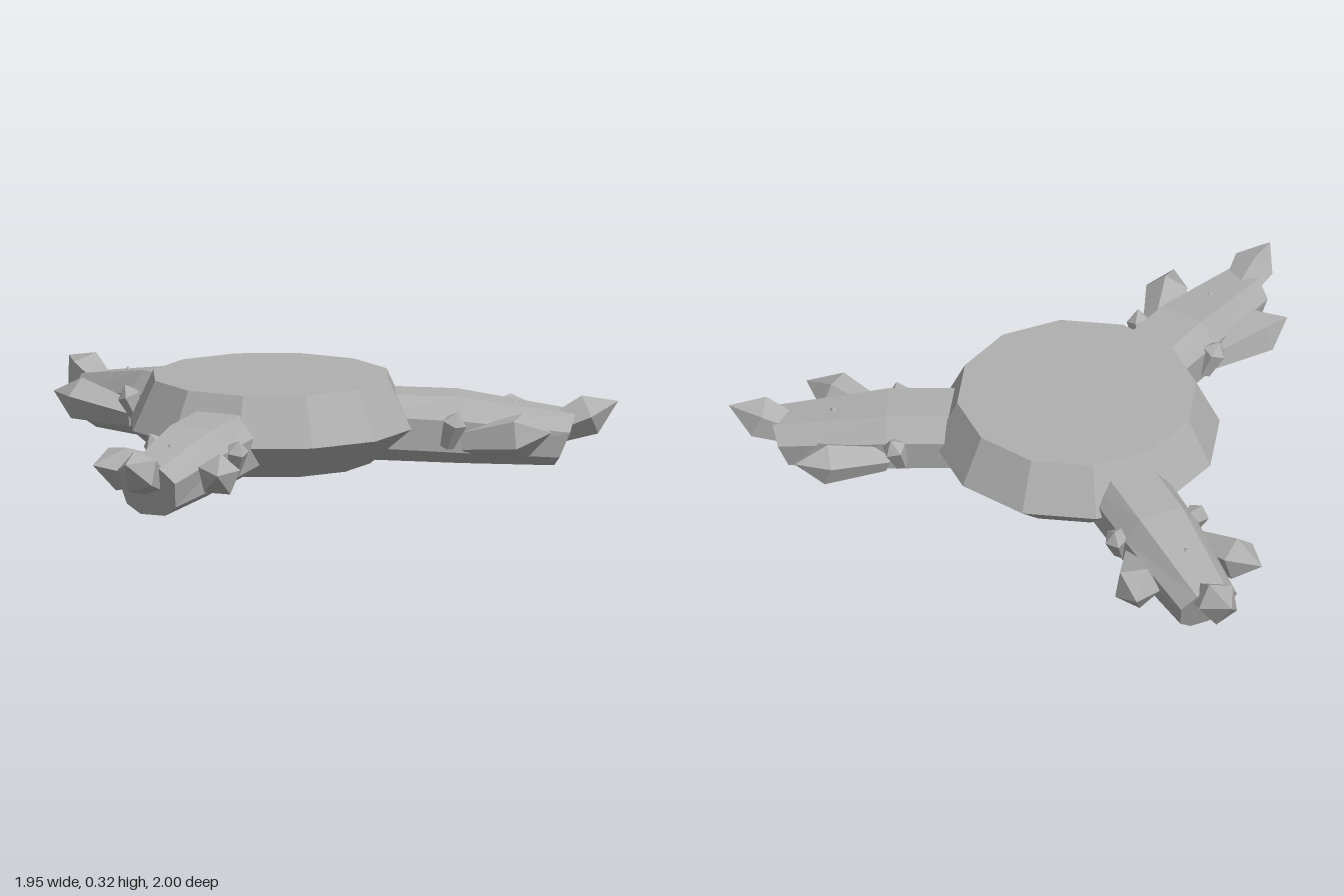
import * as THREE from 'three';

const stone = new THREE.MeshStandardMaterial({ color: 0xb0b0b0 });
stone.name = 'grey stone';

// Gives every face its own flat normal
function faceted(geometry) {
  const g = geometry.index ? geometry.toNonIndexed() : geometry;
  g.computeVertexNormals();
  return g;
}

function part(name, geometry) {
  const mesh = new THREE.Mesh(faceted(geometry), stone);
  mesh.name = name;
  return mesh;
}

function turned(points, sides) {
  return new THREE.LatheGeometry(points.map(p => new THREE.Vector2(...p)), sides);
}

// Joins rings of points lying along +x and caps both ends
function loft(rings) {
  const pos = [];
  const tri = (...pts) => pts.forEach(p => pos.push(p.x, p.y, p.z));
  const n = rings[0].length;
  const middle = ring => ring.reduce((s, p) => s.add(p), new THREE.Vector3()).divideScalar(n);
  const first = rings[0], last = rings[rings.length - 1];
  const start = middle(first), end = middle(last);
  for (let j = 0; j < n; j++) {
    const k = (j + 1) % n;
    for (let i = 0; i + 1 < rings.length; i++) {
      const a = rings[i], b = rings[i + 1];
      tri(a[j], a[k], b[j]);
      tri(a[k], b[k], b[j]);
    }
    tri(start, first[k], first[j]);
    tri(end, last[j], last[k]);
  }
  const g = new THREE.BufferGeometry();
  g.setAttribute('position', new THREE.Float32BufferAttribute(pos, 3));
  return g;
}

// Eight-sided arm section; the end can lean outward towards its top
function armSection({ x, top, shoulder, belly, floor, lean = 0 }) {
  const half = [top, shoulder, belly, floor];
  const ring = [...half, ...half.map(([z, y]) => [-z, y]).reverse()];
  return ring.map(([z, y]) => new THREE.Vector3(x + lean * y, y, z));
}

// Pointed crystal growing from one point to another
function crystal(name, from, to, radius, shoulder = 0.62, sides = 5) {
  const a = new THREE.Vector3(...from), b = new THREE.Vector3(...to);
  const dir = b.clone().sub(a), h = dir.length();
  const mesh = part(name, turned(
    [[0, 0], [radius * 0.6, 0], [radius, h * shoulder], [0, h]], sides));
  mesh.position.copy(a);
  mesh.quaternion.setFromUnitVectors(new THREE.Vector3(0, 1, 0), dir.normalize());
  return mesh;
}

function createArm() {
  const arm = new THREE.Group();
  arm.add(part('armBeam', loft([
    { x: 0.30, top: [0.08, 0.268], shoulder: [0.14, 0.20], belly: [0.13, 0.09], floor: [0.055, 0.037] },
    { x: 0.64, top: [0.08, 0.25], shoulder: [0.135, 0.175], belly: [0.125, 0.065], floor: [0.055, 0.018] },
    { x: 0.955, top: [0.055, 0.178], shoulder: [0.105, 0.125], belly: [0.09, 0.037], floor: [0.045, 0.003], lean: 0.4 },
  ].map(armSection))));

  // Large crystals at the end and on both flanks
  arm.add(crystal('endCrystal', [0.92, 0.105, 0], [1.178, 0.212, 0], 0.075));
  arm.add(crystal('leftFlankCrystal', [0.64, 0.10, -0.11], [0.94, 0.15, -0.232], 0.075, 0.68));
  arm.add(crystal('rightFlankCrystal', [0.65, 0.10, 0.10], [0.93, 0.15, 0.235], 0.08, 0.66));

  // Small upright crystals near the body, and a tiny one on top
  for (const s of [-1, 1]) {
    arm.add(crystal('smallCrystal', [0.585, 0.09, s * 0.125], [0.62, 0.213, s * 0.165], 0.042, 0.7));
  }
  arm.add(crystal('tinyCrystal', [0.82, 0.19, -0.006], [0.825, 0.228, -0.006], 0.014));
  return arm;
}

export function createModel() {
  const model = new THREE.Group();
  const hub = new THREE.Group();
  hub.name = 'pedestal';
  hub.position.set(-0.187, 0, 0.115);
  model.add(hub);

  // Twelve-sided round base
  hub.add(part('roundBase', turned(
    [[0, 0.033], [0.345, 0.033], [0.487, 0.155], [0.408, 0.323], [0, 0.323]], 12)));

  // Three arms spread evenly around it
  for (let i = 0; i < 3; i++) {
    const arm = createArm();
    arm.name = 'arm' + (i + 1);
    arm.rotation.y = -THREE.MathUtils.degToRad(11.4 + 120 * i);
    hub.add(arm);
  }
  return model;
}
